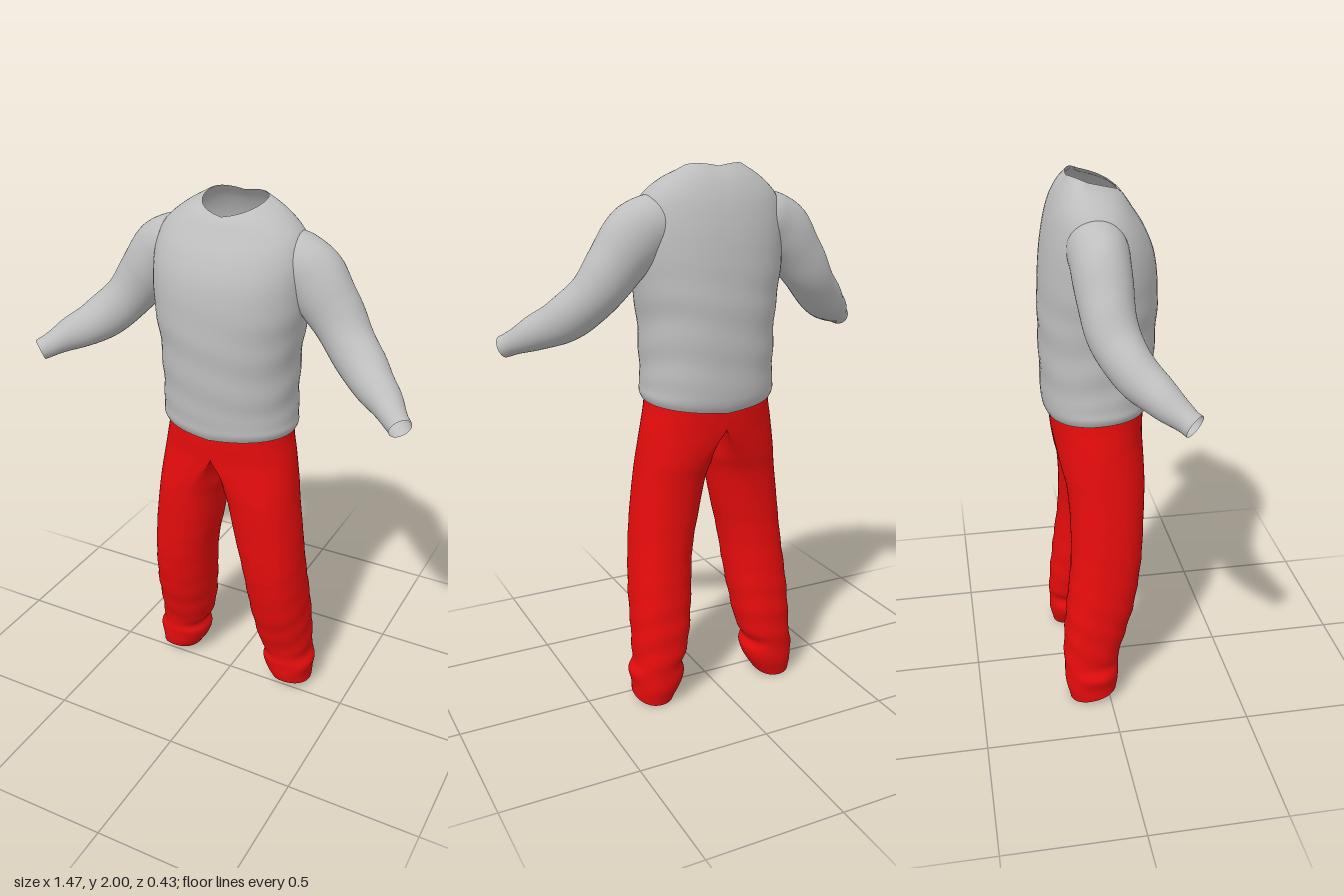
import * as THREE from 'three';

const SEG = 56;

// Skin a list of rings (arrays of Vector3) into a smooth open surface
function loft(rings, mirror = false) {
  const pos = [], idx = [], n = rings[0].length;
  for (const ring of rings) for (const p of ring) pos.push(mirror ? -p.x : p.x, p.y, p.z);
  const tri = (a, b, c) => {
    // faces lying on the centre plane are left out, so the hips stay hollow
    if ([a, b, c].every((k) => Math.abs(pos[k * 3]) < 1e-5)) return;
    if (mirror) idx.push(a, c, b); else idx.push(a, b, c);
  };
  for (let i = 0; i < rings.length - 1; i++) {
    for (let j = 0; j < n; j++) {
      const a = i * n + j, b = i * n + (j + 1) % n, c = a + n, d = b + n;
      tri(a, c, b);
      tri(b, c, d);
    }
  }
  const g = new THREE.BufferGeometry();
  g.setAttribute('position', new THREE.Float32BufferAttribute(pos, 3));
  g.setIndex(idx);
  g.computeVertexNormals();
  return g;
}

// Catmull-Rom interpolation of every column of a table
function refine(rows, steps) {
  const out = [], last = rows.length - 1;
  for (let i = 0; i <= last * steps; i++) {
    const k = Math.min(Math.floor(i / steps), last - 1), t = i / steps - k;
    const r = [k - 1, k, k + 1, k + 2].map((q) => rows[Math.min(Math.max(q, 0), last)]);
    out.push(rows[0].map((_, c) => {
      const [a, b, d, e] = r.map((row) => row[c]);
      return b + 0.5 * t * (d - a + t * (2 * a - 5 * b + 4 * d - e + t * (3 * (b - d) + e - a)));
    }));
  }
  return out;
}

const soft = (v) => Math.sign(v) * Math.pow(Math.abs(v), 0.9);

// Horizontal ring: inner / middle / outer x, front / middle / back z,
// tilt raises the front, lift raises the sides
function section([y, xi, xm, xo, zf, zm, zb, tilt, lift], fold) {
  const ring = [];
  for (let j = 0; j < SEG; j++) {
    const a = (j / SEG) * Math.PI * 2, c = soft(Math.cos(a)), s = soft(Math.sin(a));
    const f = 1 + fold(y, a);
    ring.push(new THREE.Vector3(
      xm + c * f * (c > 0 ? xo - xm : xm - xi),
      y + tilt * s + lift * Math.abs(c),
      zm + s * f * (s > 0 ? zf - zm : zm - zb)));
  }
  return ring;
}

// Sleeve: rings of two radii swept along a curve
function sleeveRings(rows, count) {
  const curve = new THREE.CatmullRomCurve3(rows.map((r) => new THREE.Vector3(r[0], r[1], r[2])));
  const steps = count / (rows.length - 1), radii = refine(rows.map((r) => [r[3], r[4]]), steps);
  return radii.map(([ra, rb], i) => {
    const p = curve.getPoint(i / count), t = curve.getTangent(i / count);
    const b = new THREE.Vector3(0, 0, 1).addScaledVector(t, -t.z).normalize();
    const a = new THREE.Vector3().crossVectors(t, b);
    const ring = [];
    for (let j = 0; j < SEG; j++) {
      const w = (j / SEG) * Math.PI * 2;
      const f = 1 + 0.018 * Math.sin(i * 0.75 + 2 * Math.sin(w)) * Math.min(1, i / 20);
      ring.push(p.clone().addScaledVector(a, ra * f * Math.cos(w)).addScaledVector(b, rb * f * Math.sin(w)));
    }
    return ring;
  });
}

export function createModel() {
  const model = new THREE.Group();
  const grey = new THREE.MeshStandardMaterial({ color: 0xbebebe, side: THREE.DoubleSide });
  grey.name = 'greyKnit';
  const red = new THREE.MeshStandardMaterial({ color: 0xe60c0c, side: THREE.DoubleSide });
  red.name = 'redCloth';

  const add = (parent, name, geometry, material) => {
    const mesh = new THREE.Mesh(geometry, material);
    mesh.name = name;
    parent.add(mesh);
  };

  // Sweater body: y, half width, front z, middle z, back z, tilt, lift
  const bodyRows = [
    [1.158, 0.245, 0.172, -0.01, -0.192, 0.012, 0.02],
    [1.185, 0.254, 0.183, -0.01, -0.204, 0.011, 0.018],
    [1.23, 0.251, 0.186, -0.01, -0.21, 0.008, 0.012],
    [1.35, 0.25, 0.195, -0.01, -0.213, 0, 0],
    [1.5, 0.258, 0.203, -0.01, -0.215, 0, 0],
    [1.62, 0.278, 0.204, -0.01, -0.212, 0, 0],
    [1.74, 0.286, 0.19, -0.015, -0.203, 0, 0],
    [1.83, 0.28, 0.155, -0.02, -0.189, 0, 0],
    [1.9, 0.252, 0.112, -0.03, -0.17, -0.003, 0.003],
    [1.95, 0.185, 0.083, -0.04, -0.142, -0.012, 0.012],
    [1.976, 0.114, 0.065, -0.05, -0.108, -0.026, 0.022],
  ].map(([y, w, ...rest]) => [y, -w, 0, w, ...rest]);
  const bodyFold = (y, a) => 0.009 * Math.sin(y * 42 + 1.5 * Math.sin(2 * a)) *
    THREE.MathUtils.smoothstep(y, 1.2, 1.3) * (1 - THREE.MathUtils.smoothstep(y, 1.5, 1.75));
  const sweater = new THREE.Group();
  sweater.name = 'sweater';
  add(sweater, 'sweaterBody', loft(refine(bodyRows, 6).map((r) => section(r, bodyFold))), grey);

  // Sleeves: centre x, y, z, radius across, radius in depth
  const arm = sleeveRings([
    [0.16, 1.83, -0.045, 0.085, 0.09],
    [0.225, 1.805, -0.04, 0.11, 0.1],
    [0.295, 1.755, -0.037, 0.117, 0.098],
    [0.365, 1.67, -0.035, 0.1, 0.092],
    [0.45, 1.56, -0.012, 0.087, 0.083],
    [0.54, 1.482, 0.045, 0.079, 0.073],
    [0.62, 1.437, 0.105, 0.06, 0.06],
    [0.68, 1.4, 0.157, 0.043, 0.043],
    [0.705, 1.386, 0.181, 0.04, 0.041],
  ], 48);
  add(sweater, 'leftSleeve', loft(arm), grey);
  add(sweater, 'rightSleeve', loft(arm, true), grey);
  model.add(sweater);

  // Trouser leg from hem to waist: y, inner x, middle x, outer x, front z, back z, tilt
  const legRows = [
    [0.028, 0.182, 0.26, 0.334, 0.03, -0.152, 0.02],
    [0.075, 0.155, 0.25, 0.338, 0.036, -0.163, 0.015],
    [0.125, 0.136, 0.24, 0.345, 0.042, -0.168, 0.008],
    [0.165, 0.15, 0.24, 0.33, 0.038, -0.17, 0.003],
    [0.21, 0.126, 0.228, 0.33, 0.048, -0.17, 0],
    [0.3, 0.108, 0.218, 0.328, 0.073, -0.166, 0],
    [0.42, 0.093, 0.208, 0.324, 0.105, -0.154, 0],
    [0.6, 0.073, 0.19, 0.31, 0.133, -0.133, 0],
    [0.75, 0.042, 0.165, 0.296, 0.143, -0.13, 0],
    [0.88, 0.018, 0.135, 0.28, 0.15, -0.138, 0],
    [0.95, 0, 0.1, 0.272, 0.153, -0.153, 0],
    [1.02, 0, 0.045, 0.263, 0.156, -0.167, 0],
    [1.08, 0, 0, 0.254, 0.158, -0.177, 0],
    [1.15, 0, 0, 0.241, 0.16, -0.182, 0],
    [1.23, 0, 0, 0.234, 0.158, -0.185, 0],
  ].map(([y, xi, xm, xo, zf, zb, t]) => [y, xi, xm, xo, zf, (zf + zb) / 2, zb, t, 0]);
  const legFold = (y, a) => (1 - THREE.MathUtils.smoothstep(y, 0.3, 0.9)) *
    (0.016 * Math.sin(y * 60 + 2.5 * Math.sin(a) + a) + 0.012 * Math.sin(3 * a + y * 9));
  const leg = refine(legRows, 5).map((r) => {
    // keep both halves on their own side of the centre seam
    const xi = r[0] > 0.949 ? 0 : Math.max(0, r[1]);
    const xm = r[0] > 1.079 ? 0 : Math.max(xi, r[2]);
    return section([r[0], xi, xm, ...r.slice(3)], legFold);
  });
  const trousers = new THREE.Group();
  trousers.name = 'trousers';
  add(trousers, 'leftTrouserLeg', loft(leg), red);
  add(trousers, 'rightTrouserLeg', loft(leg, true), red);
  model.add(trousers);

  return model;
}
